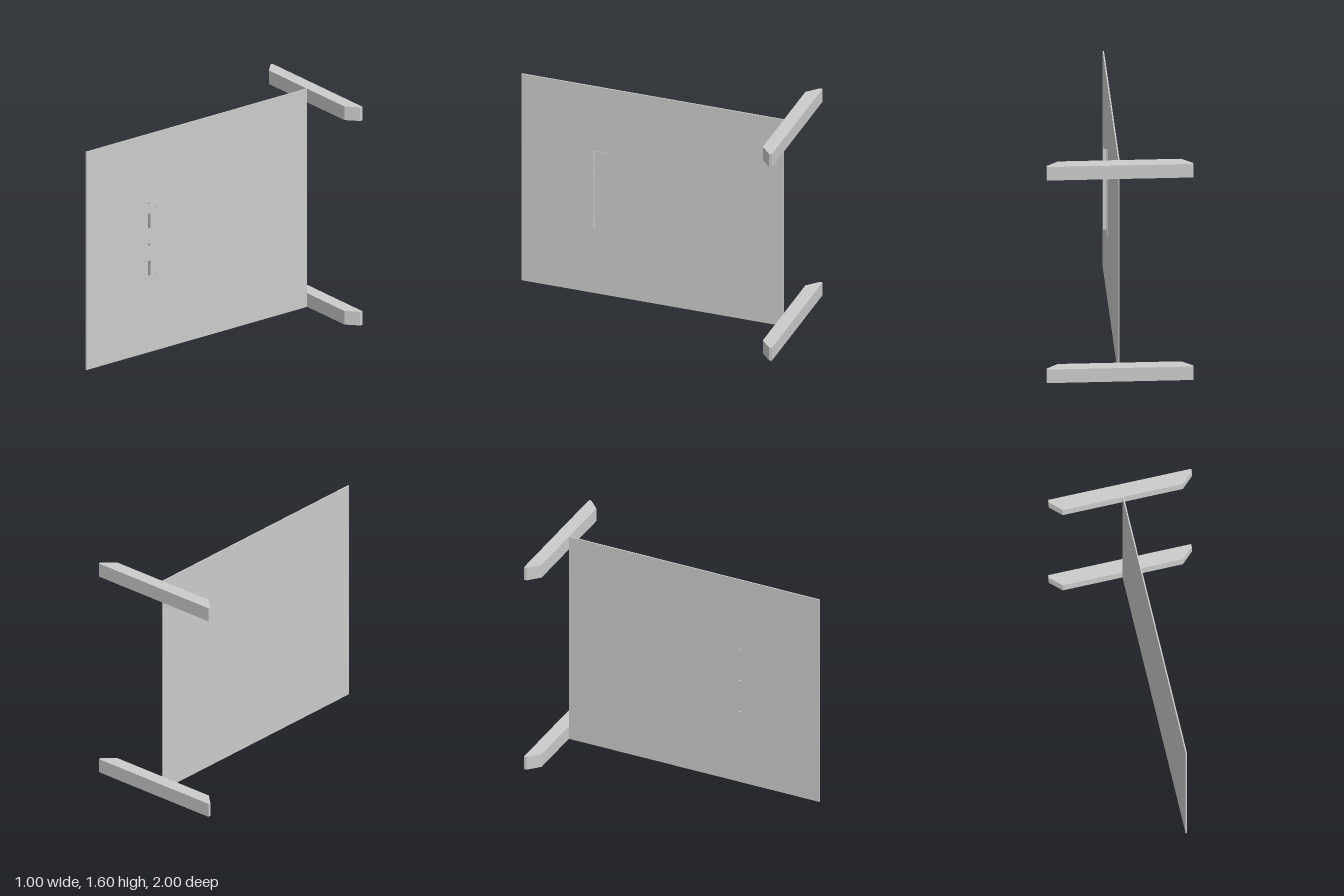
import * as THREE from 'three';

const material = new THREE.MeshStandardMaterial({ color: 0xcccccc });
const PANEL_X = -0.002, PANEL_T = 0.009; // panel right face and thickness
const SHEET = 0.003; // bracket sheet thickness
const FACE = PANEL_X + PANEL_T;
const WEB_X = 0.034; // outer face of the hooks
const SCREW_Y = [0.56, 0.805, 1.05];

function add(parent, name, geometry) {
  const mesh = new THREE.Mesh(geometry, material);
  mesh.name = name;
  parent.add(mesh);
  return mesh;
}

// Upright plate: outline in (-z, y), thickness along +x starting at x
function plate(shape, x, thickness) {
  return new THREE.ExtrudeGeometry(shape, { depth: thickness, bevelEnabled: false, curveSegments: 6 })
    .rotateY(Math.PI / 2).translate(x, 0, 0);
}

// Rectangle from z0 (rear) to z1 (front) with screw holes
function drilledRect(z0, z1, y0, y1) {
  const s = new THREE.Shape();
  s.moveTo(-z1, y0).lineTo(-z0, y0).lineTo(-z0, y1).lineTo(-z1, y1).closePath();
  for (const y of SCREW_Y) {
    s.holes.push(new THREE.Path().absarc(-0.4, y, 0.006, 0, Math.PI * 2, true));
  }
  return s;
}

// Hook tab with rounded front corners
function tabShape(y0, y1) {
  const zRear = -0.465, zFront = -0.513, r = 0.02;
  const s = new THREE.Shape();
  s.moveTo(zRear, y0).lineTo(zRear, y1).lineTo(zFront + r, y1);
  s.quadraticCurveTo(zFront, y1, zFront, y1 - r);
  s.lineTo(zFront, y0 + r);
  s.quadraticCurveTo(zFront, y0, zFront + r, y0);
  s.closePath();
  return s;
}

export function createModel() {
  const group = new THREE.Group();
  group.name = 'panelWithBracket';

  // Thin upright panel
  add(group, 'panel', plate(drilledRect(-0.905, 1, 0, 1.6), PANEL_X, PANEL_T));

  // Crossbars along the rear edge, with chamfered ends
  const bar = new THREE.Shape();
  bar.moveTo(-0.42, 0.905).lineTo(0.42, 0.905).lineTo(0.5, 0.98).lineTo(0.5, 1)
    .lineTo(-0.5, 1).lineTo(-0.5, 0.98).closePath();
  const barGeometry = new THREE.ExtrudeGeometry(bar, { depth: 0.1, bevelEnabled: false })
    .rotateX(-Math.PI / 2);
  add(group, 'bottomCrossbar', barGeometry);
  add(group, 'topCrossbar', barGeometry).position.y = 1.5;

  // Folded sheet bracket: flange against the panel, web, and hook tabs
  const bracket = new THREE.Group();
  bracket.name = 'bracket';
  group.add(bracket);
  add(bracket, 'flange', plate(drilledRect(0.345, 0.468, 0.505, 1.1), FACE, SHEET));
  add(bracket, 'web', new THREE.BoxGeometry(WEB_X - FACE, 0.595, SHEET)
    .translate((WEB_X + FACE) / 2, 0.8025, 0.4665));
  for (const [y0, y1] of [[0.505, 0.575], [0.685, 0.795], [0.81, 0.92], [1.03, 1.1]]) {
    add(bracket, 'hookTab', plate(tabShape(y0, y1), WEB_X - SHEET, SHEET));
  }
  return group;
}
